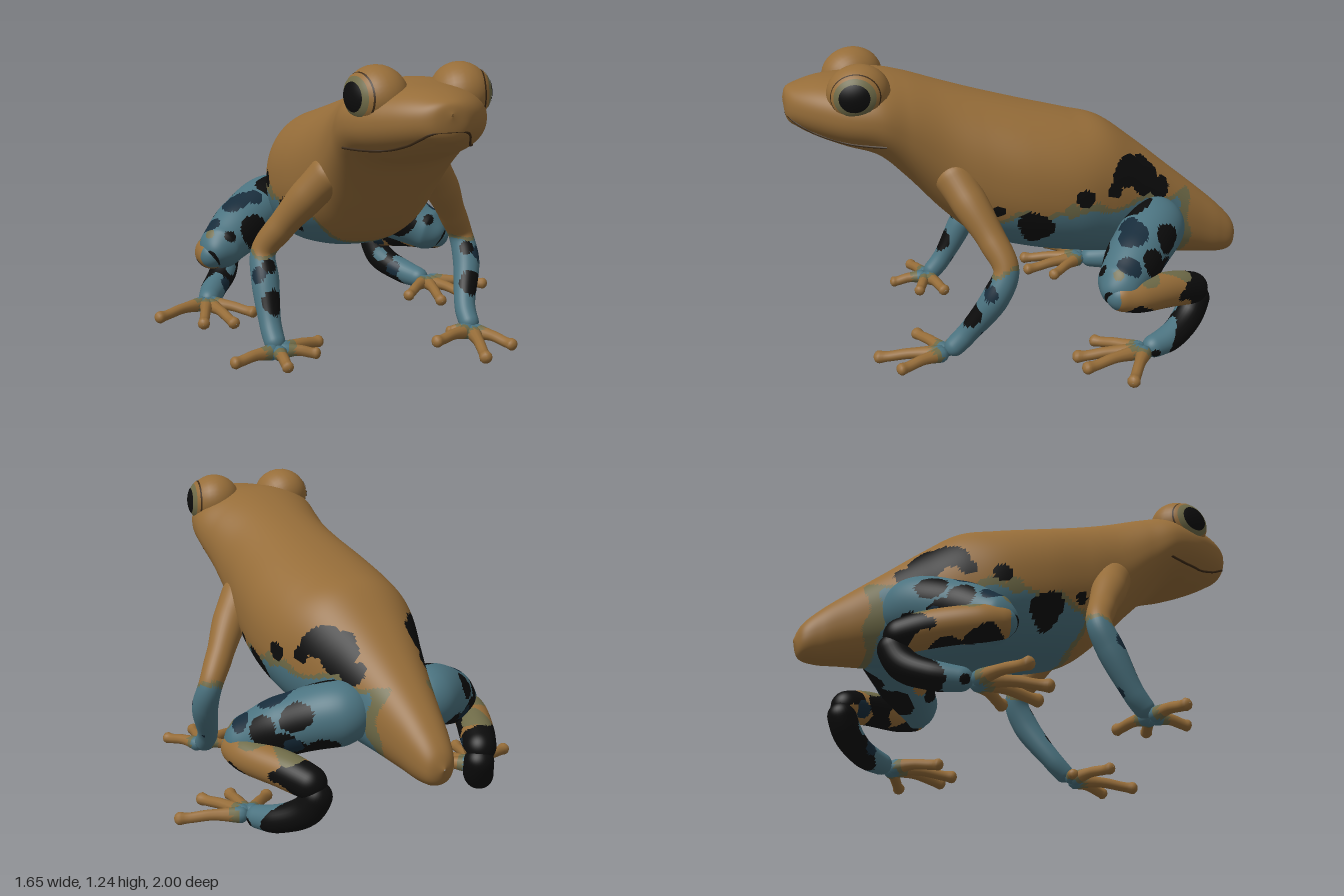
import * as THREE from 'three';

const mat = (name, color) => Object.assign(new THREE.MeshStandardMaterial({ color }), { name });
const V = (x, y, z) => new THREE.Vector3(x, y, z);

export function createModel() {
  const frog = new THREE.Group();
  frog.name = 'frog';
  const M = {
    tan: mat('tan skin', 0x966d39), blue: mat('blue skin', 0x4b7380), black: mat('black patch', 0x0c0c0c),
    navy: mat('navy patch', 0x172c3b), olive: mat('olive skin', 0x6f6b48), crease: mat('dark crease', 0x3d2a15),
  };

  // Skins closed rings of points; paint(x, y, z) names the colour of each face.
  function skin(name, rings, paint) {
    const cols = rings[0].length, at = (i, j) => i * cols + (j % cols), pts = rings.flat(), faces = {};
    const add = (a, b, c) => {
      const m = V(0, 0, 0).add(pts[a]).add(pts[b]).add(pts[c]).divideScalar(3);
      (faces[paint(Math.abs(m.x), m.y, m.z)] ??= []).push(a, b, c);
    };
    for (let i = 0; i < rings.length - 1; i++) for (let j = 0; j < cols; j++) {
      if (i < rings.length - 2) add(at(i, j), at(i + 1, j), at(i + 1, j + 1));
      if (i > 0) add(at(i, j), at(i + 1, j + 1), at(i, j + 1));
    }
    const g = new THREE.BufferGeometry().setFromPoints(pts), index = [];
    Object.values(faces).forEach((f, k) => {
      g.addGroup(index.length, f.length, k);
      for (const v of f) index.push(v);
    });
    g.setIndex(index);
    g.computeVertexNormals();
    const mesh = new THREE.Mesh(g, Object.keys(faces).map((k) => M[k]));
    mesh.name = name;
    return mesh;
  }

  // Round-ended limb through [x, y, z, radius] knots.
  function limb(name, knots, paint, rows, cols) {
    const curve = new THREE.CatmullRomCurve3(knots.map((k) => V(k[0], k[1], k[2])));
    const n = knots.length - 1, N = V(0.31, 0.9, 0.17), rings = [];
    const first = curve.getPoint(0), last = curve.getPoint(1);
    for (let i = 0; i <= rows; i++) {
      const t = (1 - Math.cos((Math.PI * i) / rows)) / 2, p = curve.getPoint(t), T = curve.getTangent(t);
      const k = Math.min(n - 1, Math.floor(t * n));
      let r = THREE.MathUtils.lerp(knots[k][3], knots[k + 1][3], THREE.MathUtils.smoothstep(t * n - k, 0, 1));
      const e = Math.min(1, Math.min(p.distanceTo(first), p.distanceTo(last)) / r);
      r *= Math.max(0.01, Math.sqrt(1 - (1 - e) ** 2));
      N.addScaledVector(T, -N.dot(T)).normalize();
      const B = T.clone().cross(N);
      rings.push(Array.from({ length: cols }, (_, j) => {
        const a = (j / cols) * Math.PI * 2;
        return p.clone().addScaledVector(N, r * Math.cos(a)).addScaledVector(B, -r * Math.sin(a));
      }));
    }
    return skin(name, rings, paint);
  }

  // Irregular patches: [x, y, z, radius, colour]; a null x marks a patch on the flank.
  const wobble = (x, y, z) => 0.12 * Math.sin(31 * y + 23 * z) + 0.08 * Math.sin(37 * z - 29 * x + 2);
  const spot = (list, x, y, z) => list.find(([sx, sy, sz, r]) =>
    Math.hypot(sx === null ? 0 : x - sx, y - sy, z - sz) < r * (1 + wobble(x, y, z)))?.[4];

  // Body sections from snout to rump: z, top, bottom, half width
  const sections = [
    [1, 1.09, 1.08, 0], [0.985, 1.13, 1.0, 0.075], [0.94, 1.15, 0.965, 0.135], [0.86, 1.17, 0.925, 0.2],
    [0.75, 1.18, 0.885, 0.265], [0.62, 1.19, 0.84, 0.297], [0.5, 1.17, 0.73, 0.285], [0.35, 1.125, 0.57, 0.28],
    [0.2, 1.08, 0.45, 0.3], [0, 1.025, 0.39, 0.325], [-0.2, 0.975, 0.355, 0.32], [-0.35, 0.935, 0.335, 0.28],
    [-0.5, 0.83, 0.315, 0.22], [-0.65, 0.71, 0.3, 0.165], [-0.8, 0.59, 0.285, 0.12], [-0.9, 0.505, 0.275, 0.092],
    [-0.97, 0.43, 0.29, 0.06], [-1, 0.36, 0.36, 0],
  ];
  const spline = (f) => new THREE.CatmullRomCurve3(sections.map(f), false, 'catmullrom', 0.5);
  const shape = spline((s) => V(s[1], s[2], s[3])), along = spline((s) => V(s[0], 0, 0));
  const POWER = 2.2;
  const power = (v) => Math.sign(v) * Math.abs(v) ** (2 / POWER);
  const bodyRings = [];
  for (let i = 0; i <= 200; i++) {
    const t = i / 200, s = shape.getPoint(t), z = along.getPoint(t).x;
    const half = Math.max(0.001, (s.x - s.y) / 2), w = Math.max(0.001, s.z);
    bodyRings.push(Array.from({ length: 140 }, (_, j) => {
      const a = (j / 140) * Math.PI * 2;
      return V(w * power(Math.cos(a)), (s.x + s.y) / 2 + half * power(Math.sin(a)), z);
    }));
  }
  const flankSpots = [
    [null, 0.55, -0.01, 0.072, 'black'], [null, 0.67, -0.21, 0.042, 'black'], [null, 0.74, -0.42, 0.068, 'black'],
    [null, 0.72, -0.49, 0.075, 'black'], [null, 0.64, -0.59, 0.045, 'black'], [null, 0.63, 0.15, 0.03, 'black'],
    [null, 0.68, -0.36, 0.035, 'black'], [null, 0.62, -0.16, 0.035, 'olive'],
  ];
  frog.add(skin('body', bodyRings, (x, y, z) => {
    const patch = spot(flankSpots, x, y, z);
    if (patch) return patch;
    const w = wobble(x, y, z), top = 0.62 - 0.25 * Math.max(0, z) + 0.12 * w;
    const edge = Math.min(top - y, 0.19 + 0.1 * w - z, (z + 0.73 + 0.1 * w) * 0.5);
    return edge > 0.025 ? 'blue' : edge > 0 ? 'olive' : 'tan';
  }));

  // Mouth line laid on the surface of the head
  const mouthHalf = [];
  for (let i = 0; i <= 14; i++) {
    const z = THREE.MathUtils.lerp(0.6, 0.975, i / 14);
    const k = sections.findIndex((s) => s[0] <= z), a = sections[k - 1], b = sections[k];
    const f = (a[0] - z) / (a[0] - b[0]), [, top, bottom, w] = a.map((v, q) => v + (b[q] - v) * f);
    const y = 0.925 + 0.093 * (i / 14) ** 3;
    const d = Math.abs((y - (top + bottom) / 2) / ((top - bottom) / 2));
    mouthHalf.push(V(w * (1 - d ** POWER) ** (1 / POWER), y, z));
  }
  const mouthPath = [...mouthHalf, V(0, 1.023, 0.987), ...mouthHalf.map((p) => V(-p.x, p.y, p.z)).reverse()];
  const mouth = new THREE.Mesh(new THREE.TubeGeometry(new THREE.CatmullRomCurve3(mouthPath), 90, 0.006, 6), M.crease);
  mouth.name = 'mouth';
  frog.add(mouth);

  // Bulging eyes with dark rim, iris and pupil facing outward
  function eye(side) {
    const g = new THREE.Group();
    g.name = side > 0 ? 'leftEye' : 'rightEye';
    const part = (name, radius, angle, m) => {
      const mesh = new THREE.Mesh(new THREE.SphereGeometry(radius, 36, 16, 0, Math.PI * 2, 0, angle), m);
      mesh.name = name;
      g.add(mesh);
    };
    part('eyelid', 0.117, Math.PI, M.tan);
    part('eyeRim', 0.119, 0.88, M.crease);
    part('eyeRing', 0.121, 0.82, M.tan);
    part('iris', 0.123, 0.68, M.olive);
    part('pupil', 0.125, 0.47, M.black);
    g.quaternion.setFromUnitVectors(V(0, 1, 0), V(side, 0.02, 0.22).normalize());
    g.scale.z = 1.12;
    g.position.set(side * 0.172, 1.132, 0.7);
    return g;
  }

  // Digits run from the palm to a rounded tip pad.
  const digit = (name, [px, py, pz], [x, y, z]) => limb(name, [
    [px, py, pz, 0.036], [(px + x) / 2, (py + y) / 2 + 0.008, (pz + z) / 2, 0.023],
    [px + (x - px) * 0.8, py + (y - py) * 0.8, pz + (z - pz) * 0.8, 0.022], [x, y, z, 0.031],
  ], (ax, ay, az) => {
    const d = Math.hypot(ax - Math.abs(px), az - pz);
    return d < 0.05 ? 'blue' : d < 0.075 ? 'olive' : 'tan';
  }, 22, 10);

  const armSpots = [
    [0.45, 0.25, 0.3, 0.055, 'black'], [0.45, 0.38, 0.22, 0.035, 'black'], [0.49, 0.35, 0.22, 0.035, 'navy'],
    [0.46, 0.15, 0.24, 0.025, 'navy'],
  ];
  const thighSpots = [
    [0.41, 0.36, -0.55, 0.045, 'navy'], [0.4, 0.3, -0.5, 0.12, 'black'], [0.3, 0.34, -0.6, 0.08, 'black'],
    [0.42, 0.52, -0.56, 0.07, 'black'], [0.2, 0.6, -0.44, 0.085, 'black'], [0.36, 0.4, -0.3, 0.08, 'black'],
    [0.61, 0.29, -0.24, 0.075, 'black'], [0.43, 0.55, -0.4, 0.07, 'navy'], [0.33, 0.55, -0.39, 0.04, 'navy'],
    [0.54, 0.43, -0.35, 0.05, 'navy'], [0.48, 0.42, -0.22, 0.04, 'black'], [0.27, 0.38, -0.35, 0.065, 'tan'],
    [0.5, 0.44, -0.45, 0.055, 'black'], [0.56, 0.41, -0.3, 0.025, 'olive'],
  ];
  const shinSpots = [
    [0.54, 0.24, -0.38, 0.075, 'black'], [0.44, 0.37, -0.57, 0.07, 'olive'], [0.53, 0.38, -0.43, 0.05, 'olive'],
    [0.4, 0.31, -0.5, 0.07, 'black'], [0.57, 0.33, -0.25, 0.065, 'blue'], [0.54, 0.28, -0.6, 0.03, 'black'],
    [0.38, 0.25, -0.61, 0.04, 'navy'], [0.46, 0.21, -0.5, 0.07, 'black'],
  ];
  const ankleSpots = [
    [0.43, 0.11, -0.54, 0.035, 'navy'], [0.38, 0.18, -0.59, 0.04, 'blue'], [0.6, 0.05, -0.46, 0.04, 'black'],
  ];

  const hands = {
    1: { wrist: [0.405, 0.14, 0.31], palm: [0.4, 0.06, 0.39],
      tips: [[0.495, 0.045, 0.61], [0.32, 0.032, 0.69], [0.17, 0.065, 0.5], [0.29, 0.06, 0.36]] },
    '-1': { wrist: [-0.47, 0.14, 0.29], palm: [-0.465, 0.06, 0.36],
      tips: [[-0.68, 0.05, 0.42], [-0.475, 0.04, 0.535], [-0.3, 0.05, 0.42], [-0.25, 0.065, 0.3]] },
  };
  const toes = [[0.82, 0.055, -0.29], [0.645, 0.05, -0.13], [0.5, 0.04, -0.12], [0.37, 0.05, -0.23]];

  for (const s of [1, -1]) {
    const side = s > 0 ? 'left' : 'right', { wrist, palm, tips } = hands[s];
    const flip = (list) => list.map(([x, ...rest]) => [x * s, ...rest]);
    frog.add(eye(s));

    // Front leg
    const arm = new THREE.Group();
    arm.name = side + 'FrontLeg';
    arm.add(limb('arm', [...flip([[0.18, 0.82, 0.35, 0.09], [0.29, 0.69, 0.28, 0.076], [0.39, 0.54, 0.195, 0.06],
      [0.455, 0.43, 0.15, 0.053], [0.463, 0.32, 0.195, 0.058]]), [...wrist, 0.045], [...palm, 0.042]],
    (x, y, z) => {
      const level = y + 0.12 * wobble(x, y, z) + 0.25 * (z - 0.15);
      return spot(armSpots, x, y, z) ?? (level > 0.43 ? 'tan' : level > 0.415 ? 'olive' : 'blue');
    }, 90, 34));
    tips.forEach((t) => arm.add(digit('finger', palm, t)));
    frog.add(arm);

    // Folded hind leg
    const leg = new THREE.Group();
    leg.name = side + 'HindLeg';
    leg.add(limb('thigh', flip([[0.08, 0.48, -0.61, 0.12], [0.22, 0.48, -0.54, 0.135], [0.38, 0.42, -0.42, 0.125],
      [0.515, 0.345, -0.31, 0.1], [0.565, 0.325, -0.25, 0.075]]),
    (x, y, z) => spot(thighSpots, x, y, z) ?? 'blue', 90, 64));
    leg.add(limb('shin', flip([[0.56, 0.325, -0.25, 0.06], [0.53, 0.31, -0.4, 0.075], [0.45, 0.29, -0.57, 0.075],
      [0.37, 0.25, -0.725, 0.066]]),
    (x, y, z) => spot(shinSpots, x, y, z) ?? (z < -0.63 + 0.2 * wobble(x, y, z) ? 'black' : 'tan'), 70, 44));
    leg.add(limb('ankle', flip([[0.37, 0.27, -0.71, 0.062], [0.405, 0.15, -0.655, 0.064], [0.48, 0.09, -0.56, 0.058],
      [0.55, 0.065, -0.42, 0.046]]),
    (x, y, z) => spot(ankleSpots, x, y, z) ?? (z < -0.54 + 0.2 * wobble(x, y, z) ? 'black' : 'blue'), 55, 30));
    flip(toes).forEach((t) => leg.add(digit('toe', [0.55 * s, 0.065, -0.42], t)));
    frog.add(leg);
  }
  return frog;
}
